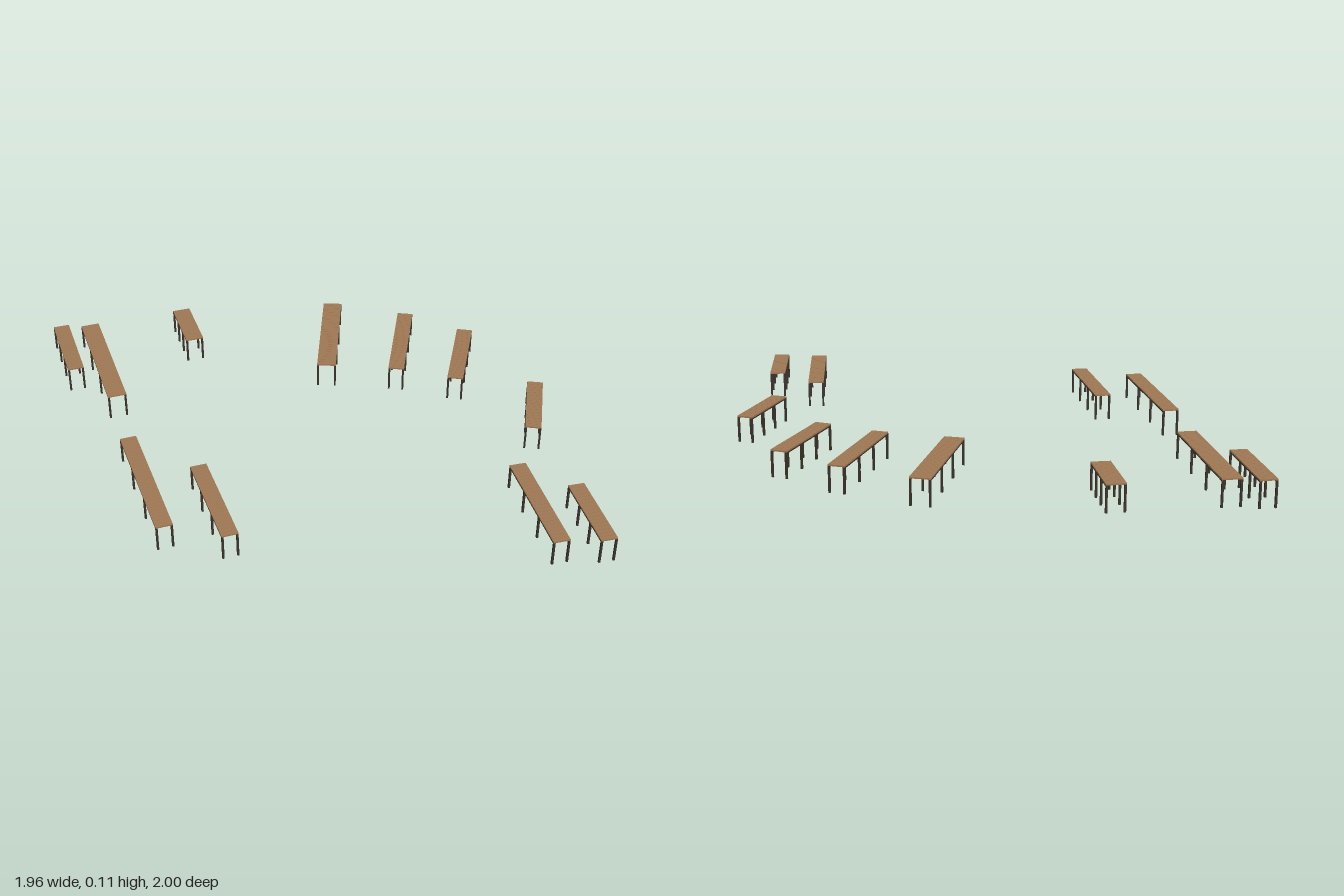
import * as THREE from 'three';
import { mergeGeometries } from 'three/addons/utils/BufferGeometryUtils.js';

const HEIGHT = 0.11;
const PLANK = 0.006; // plank thickness
const RAIL = 0.006; // side beam depth
const POST = 0.008;

// Each pier: end centres x1, z1, x2, z2 and deck width
const PIERS = [
  [-0.95, -0.998, -0.929, -0.641, 0.068],
  [-0.824, -0.975, -0.787, -0.393, 0.078],
  [-0.403, -0.998, -0.389, -0.741, 0.076],
  [0.281, -0.874, 0.124, -0.393, 0.081],
  [0.578, -0.706, 0.408, -0.29, 0.067],
  [0.795, -0.508, 0.631, -0.156, 0.067],
  [0.95, -0.039, 0.824, 0.265, 0.066],
  [0.673, 0.481, 0.667, 0.962, 0.067],
  [0.847, 0.659, 0.841, 0.998, 0.066],
  [-0.789, -0.086, -0.743, 0.502, 0.067],
  [-0.549, 0.167, -0.515, 0.615, 0.066],
];

const wood = new THREE.MeshStandardMaterial({ color: 0x9f7853 });
const darkWood = new THREE.MeshStandardMaterial({ color: 0x3a322a });

const box = (w, h, d, x, y, z) => new THREE.BoxGeometry(w, h, d).translate(x, y, z);

function addPart(parent, name, geometries, material) {
  const mesh = new THREE.Mesh(mergeGeometries(geometries), material);
  mesh.name = name;
  parent.add(mesh);
}

function createPier([x1, z1, x2, z2, width]) {
  const pier = new THREE.Group();
  pier.name = 'pier';
  const length = Math.hypot(x2 - x1, z2 - z1);

  // Cross planks with narrow gaps
  const planks = [];
  const count = Math.round(length / 0.02);
  const pitch = length / count;
  for (let i = 0; i < count; i++) {
    const z = -length / 2 + (i + 0.5) * pitch;
    planks.push(box(width, PLANK, pitch - 0.0012, 0, HEIGHT - PLANK / 2, z));
  }
  addPart(pier, 'deckPlanks', planks, wood);

  // Side beams under the planks and four pairs of posts
  const beams = [];
  const posts = [];
  const postTop = HEIGHT - PLANK;
  for (const side of [-1, 1]) {
    const x = side * (width - POST) / 2;
    beams.push(box(POST * 0.8, RAIL, length, x, postTop - RAIL / 2, 0));
    for (let i = 0; i < 4; i++) {
      const z = (i / 3 - 0.5) * (length - POST);
      posts.push(box(POST, postTop, POST, x, postTop / 2, z));
    }
  }
  addPart(pier, 'sideBeams', beams, darkWood);
  addPart(pier, 'posts', posts, darkWood);

  pier.position.set((x1 + x2) / 2, 0, (z1 + z2) / 2);
  pier.rotation.y = Math.atan2(x2 - x1, z2 - z1);
  return pier;
}

export function createModel() {
  const group = new THREE.Group();
  group.name = 'piers';
  PIERS.forEach((spec) => group.add(createPier(spec)));
  return group;
}
